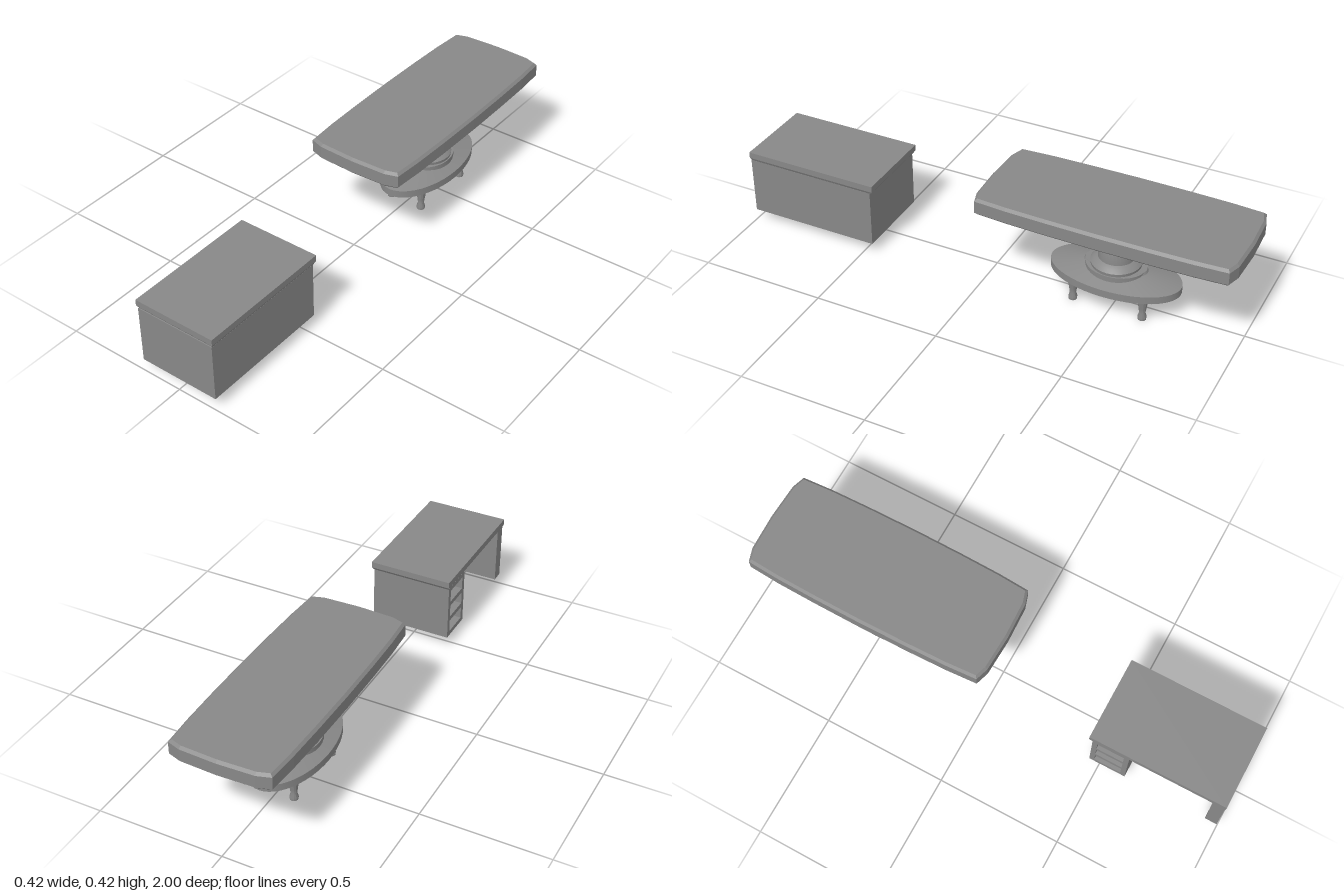
import * as THREE from 'three';
import { toCreasedNormals } from 'three/addons/utils/BufferGeometryUtils.js';

export function createModel() {
  const model = new THREE.Group();
  const grey = new THREE.MeshStandardMaterial({ color: 0x888888 });
  grey.name = 'grey';

  function add(parent, name, geometry, x = 0, y = 0, z = 0) {
    const mesh = new THREE.Mesh(geometry, grey);
    mesh.name = name;
    mesh.position.set(x, y, z);
    parent.add(mesh);
    return mesh;
  }
  // Box given by its low and high corners
  function box(parent, name, x0, x1, y0, y1, z0, z1) {
    add(parent, name, new THREE.BoxGeometry(x1 - x0, y1 - y0, z1 - z0),
      (x0 + x1) / 2, (y0 + y1) / 2, (z0 + z1) / 2);
  }
  // Horizontal slab from an [x, z] outline, rising from y = 0
  function slab(outline, height, bevel) {
    const shape = new THREE.Shape(outline.map(([x, z]) => new THREE.Vector2(x, z)));
    const geometry = new THREE.ExtrudeGeometry(shape, {
      depth: height - 2 * bevel, bevelEnabled: bevel > 0, bevelSize: bevel,
      bevelThickness: bevel, bevelOffset: -bevel, bevelSegments: 1,
    });
    return geometry.translate(0, 0, bevel).rotateX(-Math.PI / 2);
  }
  function lathe(profile, sides) {
    const points = profile.map(([r, y]) => new THREE.Vector2(r, y));
    return toCreasedNormals(new THREE.LatheGeometry(points, sides), 0.5);
  }

  // Desk
  const desk = new THREE.Group();
  desk.name = 'desk';
  model.add(desk);
  box(desk, 'deskTop', -0.17, 0.17, 0.292, 0.317, 0.447, 1);
  // Moulding under the desk top, narrower at its lower edge
  const moulding = new THREE.BoxGeometry(0.34, 0.012, 0.553);
  const pos = moulding.attributes.position;
  for (let i = 0; i < pos.count; i++) {
    if (pos.getY(i) < 0) pos.setXYZ(i, pos.getX(i) * 0.965, pos.getY(i), pos.getZ(i) * 0.97);
  }
  moulding.computeVertexNormals();
  add(desk, 'deskMoulding', moulding, 0, 0.286, 0.7235);
  box(desk, 'frontPanel', -0.165, 0.165, 0.047, 0.281, 0.948, 0.997);
  box(desk, 'sidePanel', 0.133, 0.165, 0.047, 0.281, 0.46, 0.95);

  // Cabinet with three open cubbies
  const z0 = 0.46, z1 = 0.61, wall = 0.02;
  box(desk, 'cabinetWall', -0.165, 0.135, 0.047, 0.281, z0, z0 + wall);
  box(desk, 'cabinetWall', -0.165, 0.135, 0.047, 0.281, z1 - wall, z1);
  for (let i = 0; i < 4; i++) {
    const y = 0.047 + i * 0.0715;
    box(desk, 'cabinetShelf', -0.165, 0.135, y, y + 0.0195, z0 + wall, z1 - wall);
  }

  // Pedestal table
  const table = new THREE.Group();
  table.name = 'table';
  table.position.z = -0.49;
  model.add(table);

  // Table top with bowed sides and clipped corners
  const quarter = [[0.212, 0], [0.21, 0.2], [0.206, 0.36], [0.198, 0.485], [0.145, 0.502], [0, 0.508]];
  const flipX = quarter.slice(0, 5).reverse().map(([x, z]) => [-x, z]);
  const half = [...quarter, ...flipX];
  const outline = [...half, ...half.slice(1, -1).map(([x, z]) => [-x, -z])];
  add(table, 'tableTop', slab(outline, 0.069, 0.01), 0, 0.347, 0);
  const hexagon = [[0.16, -0.32], [0.16, 0.32], [0, 0.46], [-0.16, 0.32], [-0.16, -0.32], [0, -0.46]];
  add(table, 'undersidePanel', slab(hexagon, 0.003, 0), 0, 0.345, 0);
  const plate = [[0.06, -0.11], [0.06, 0.11], [0.04, 0.14], [-0.04, 0.14],
    [-0.06, 0.11], [-0.06, -0.11], [-0.04, -0.14], [0.04, -0.14]];
  add(table, 'mountingPlate', slab(plate, 0.005, 0), 0, 0.342, 0);

  // Turned column
  add(table, 'column', lathe([
    [0.095, 0.16], [0.097, 0.178], [0.085, 0.19], [0.07, 0.198], [0.068, 0.248],
    [0.058, 0.265], [0.043, 0.285], [0.037, 0.31], [0.039, 0.346],
  ], 32));

  // Oval base with a raised collar
  add(table, 'base', lathe([
    [0, 0.1], [0.257, 0.1], [0.257, 0.13], [0.125, 0.157], [0.12, 0.167], [0, 0.167],
  ], 48)).scale.x = 0.54;
  add(table, 'collar', lathe([[0.118, 0.14], [0.118, 0.166], [0, 0.168]], 32)).scale.x = 0.85;

  // Four turned feet
  const foot = lathe([
    [0, 0], [0.016, 0], [0.017, 0.012], [0.012, 0.028], [0.015, 0.05], [0.023, 0.102],
  ], 12);
  for (const x of [-0.071, 0.071]) {
    for (const z of [-0.139, 0.139]) add(table, 'foot', foot, x, 0, z);
  }
  return model;
}
